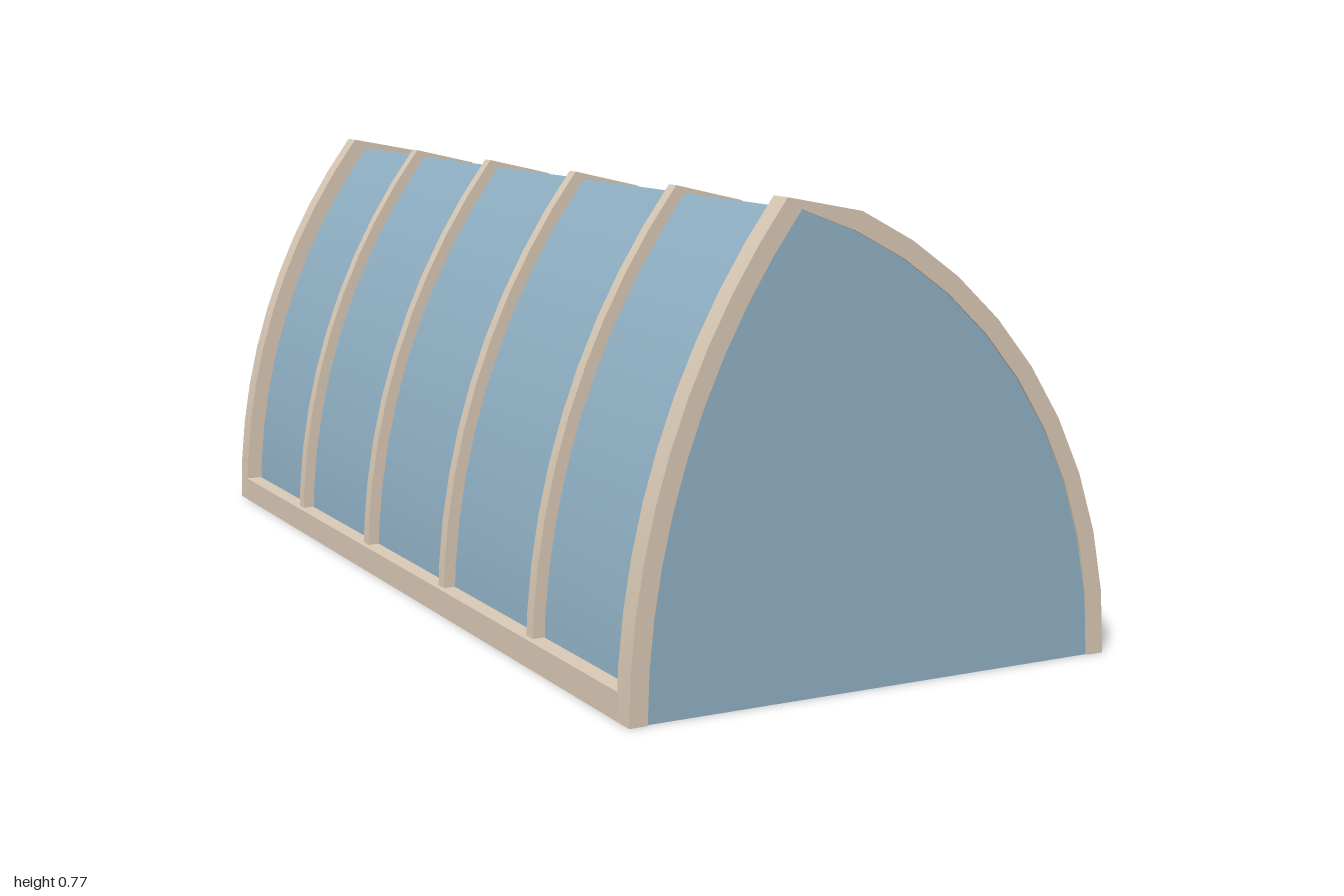
import * as THREE from 'three';
import { toCreasedNormals } from 'three/addons/utils/BufferGeometryUtils.js';

const HALF_LENGTH = 0.909, HALF_WIDTH = 0.407, APEX_X = -0.152, APEX_Y = 0.75;
const FRAME_DEPTH = 0.04, BORDER = 0.031, SEGMENTS = 10;

// Arc that rises vertically from the base on one side (-1 or 1) to the off-centre apex.
// Each entry runs base to apex and holds the point and its outward normal.
function sideArc(side) {
  const run = HALF_WIDTH - side * APEX_X;
  const radius = (run * run + APEX_Y * APEX_Y) / (2 * run);
  const apexAngle = Math.asin(APEX_Y / radius);
  return Array.from({ length: SEGMENTS + 1 }, (_, i) => {
    const a = apexAngle * i / SEGMENTS;
    const normal = new THREE.Vector2(side * Math.cos(a), Math.sin(a));
    const point = normal.clone().multiplyScalar(radius);
    point.x += side * (HALF_WIDTH - radius);
    return { point, normal };
  });
}

const lowArc = sideArc(-1);
const highArc = sideArc(1).reverse();
const profile = [...lowArc, ...highArc.slice(1)];

const offsetProfile = d => profile.map(p => p.point.clone().addScaledVector(p.normal, d));

// Curved band following the profile, centred on its own z
function archGeometry(inner, outer, depth) {
  const shape = new THREE.Shape([...offsetProfile(outer), ...offsetProfile(inner).reverse()]);
  const geo = new THREE.ExtrudeGeometry(shape, { depth, bevelEnabled: false });
  geo.translate(0, 0, -depth / 2);
  return toCreasedNormals(geo, 0.2);
}

// Thin curved sheet running the whole length over one arc
function sheetGeometry(arc) {
  const geo = new THREE.PlaneGeometry(1, 1, arc.length - 1, 1);
  const pos = geo.attributes.position;
  const end = HALF_LENGTH - 0.01;
  for (let i = 0; i < pos.count; i++) {
    const p = arc[i % arc.length].point;
    pos.setXYZ(i, p.x, p.y, i < arc.length ? -end : end);
  }
  geo.computeVertexNormals();
  return geo;
}

export function createModel() {
  const model = new THREE.Group();
  model.name = 'archedTunnel';
  const timber = new THREE.MeshStandardMaterial({ color: 0xd8c8b4 });
  const cover = new THREE.MeshStandardMaterial({ color: 0x8fb0c4, side: THREE.DoubleSide });

  const add = (name, geo, material, x = 0, y = 0, z = 0) => {
    const mesh = new THREE.Mesh(geo, material);
    mesh.name = name;
    mesh.position.set(x, y, z);
    model.add(mesh);
    return mesh;
  };

  // Curved covering, creased along the ridge
  add('rightCover', sheetGeometry(lowArc), cover);
  add('leftCover', sheetGeometry(highArc), cover);

  // End walls with their arched frames
  const frame = archGeometry(0, BORDER, FRAME_DEPTH);
  const wall = new THREE.ShapeGeometry(new THREE.Shape(offsetProfile(0.001)));
  for (const s of [-1, 1]) {
    const end = s < 0 ? 'back' : 'front';
    add(end + 'Frame', frame, timber, 0, 0, s * (HALF_LENGTH - FRAME_DEPTH / 2));
    add(end + 'Wall', wall, cover, 0, 0, s * (HALF_LENGTH - 0.004)).rotation.y = 0;
  }

  // Four slim ribs between the ends
  const rib = archGeometry(0.001, 0.022, 0.024);
  for (let i = 1; i < 5; i++) {
    add('rib' + i, rib, timber, 0, 0, HALF_LENGTH * (2 * i / 5 - 1));
  }

  // Base beams along both long sides
  const beam = new THREE.BoxGeometry(BORDER, 0.046, 2 * (HALF_LENGTH - FRAME_DEPTH));
  for (const s of [-1, 1]) {
    add(s < 0 ? 'rightBeam' : 'leftBeam', beam, timber, s * (HALF_WIDTH + BORDER / 2), 0.023, 0);
  }

  // The whole tunnel stands turned on the ground
  model.rotation.y = THREE.MathUtils.degToRad(18);
  const root = new THREE.Group();
  root.name = 'tunnel';
  root.add(model);
  return root;
}
